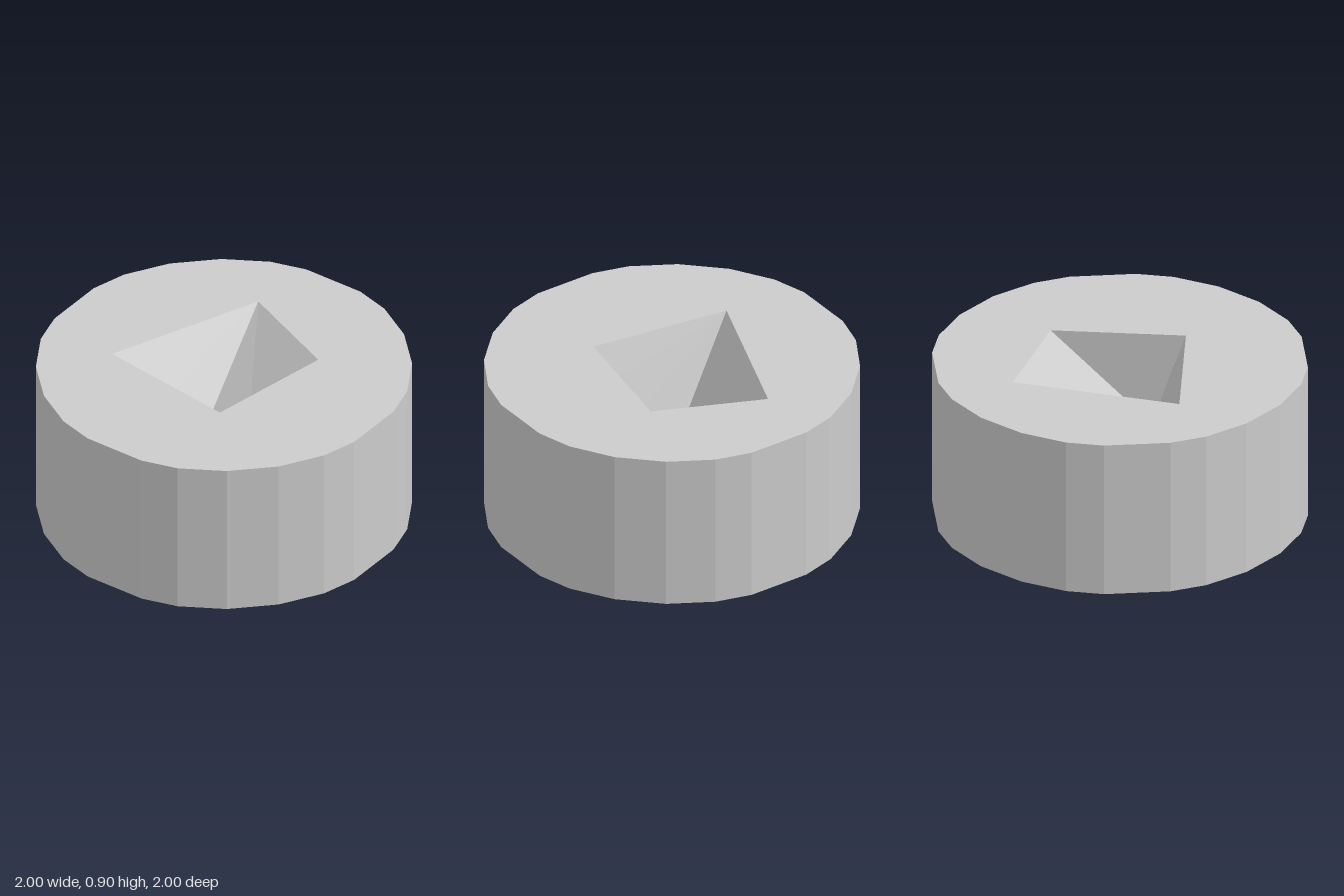
import * as THREE from 'three';

const HEIGHT = 0.9;

// Flat-shaded mesh from convex polygons, each given counter-clockwise as seen from its front
function facetMesh(name, polygons, material) {
  const positions = [];
  for (const p of polygons) {
    for (let i = 1; i < p.length - 1; i++) positions.push(...p[0], ...p[i], ...p[i + 1]);
  }
  const geometry = new THREE.BufferGeometry();
  geometry.setAttribute('position', new THREE.Float32BufferAttribute(positions, 3));
  geometry.computeVertexNormals();
  const mesh = new THREE.Mesh(geometry, material);
  mesh.name = name;
  return mesh;
}

// Rim of the drum: one quadrant of slightly uneven facets, turned four times
function rimPoints() {
  const quadrant = [[1, 0.18], [0.945, 0.38], [0.81, 0.61], [0.61, 0.81], [0.38, 0.945], [0.18, 1]];
  const points = [];
  for (let q = 0; q < 4; q++) {
    for (const [x, y] of quadrant) {
      points.push([[x, y], [-y, x], [-x, -y], [y, -x]][q]);
    }
  }
  return points.map(([x, y]) => new THREE.Vector2(x, y));
}

export function createModel() {
  const model = new THREE.Group();
  model.name = 'drumWithPit';
  const material = new THREE.MeshStandardMaterial({ color: 0xcccccc, flatShading: true });
  const pitMaterial = material.clone();
  pitMaterial.side = THREE.DoubleSide;

  // Pit corners: mouth, then the points inside
  const back = [-0.27, HEIGHT, -0.55];
  const left = [0.6, HEIGHT, -0.21];
  const front = [0.34, HEIGHT, 0.38];
  const right = [-0.38, HEIGHT, 0.25];
  const ledge = [-0.3, 0.67, 0.264];
  const bend = [-0.14, 0.6, -0.31];
  const deepBack = [-0.13, 0.3, -0.12];
  const deepFront = [-0.2, 0.36, 0.283];

  // Drum wall
  const rim = rimPoints();
  const wall = rim.map((a, i) => {
    const b = rim[(i + 1) % rim.length];
    return [[a.x, 0, -a.y], [b.x, 0, -b.y], [b.x, HEIGHT, -b.y], [a.x, HEIGHT, -a.y]];
  });
  model.add(facetMesh('drumWall', wall, material));

  // Top face with the four-cornered mouth cut out
  const topShape = new THREE.Shape(rim);
  topShape.holes.push(new THREE.Path(
    [back, left, front, right].map(([x, , z]) => new THREE.Vector2(x, -z))));
  const top = new THREE.Mesh(new THREE.ShapeGeometry(topShape), material);
  top.geometry.rotateX(-Math.PI / 2).translate(0, HEIGHT, 0);
  top.name = 'topFace';
  model.add(top);

  // Closed underside
  const bottom = new THREE.Mesh(new THREE.ShapeGeometry(new THREE.Shape(rim)), material);
  bottom.geometry.rotateX(Math.PI / 2);
  bottom.name = 'underside';
  model.add(bottom);

  // Pit walls: steep back, long slope, upright front, ledge and steep right side
  model.add(facetMesh('pitBackWall', [[left, back, bend, deepBack]], pitMaterial));
  model.add(facetMesh('pitSlope', [[left, deepBack, deepFront, front]], pitMaterial));
  model.add(facetMesh('pitFrontWall', [[front, deepFront, ledge, right]], pitMaterial));
  model.add(facetMesh('pitLedge', [[right, ledge, back]], pitMaterial));
  model.add(facetMesh('pitRightWall', [[back, ledge, deepFront, deepBack, bend]], pitMaterial));

  return model;
}
